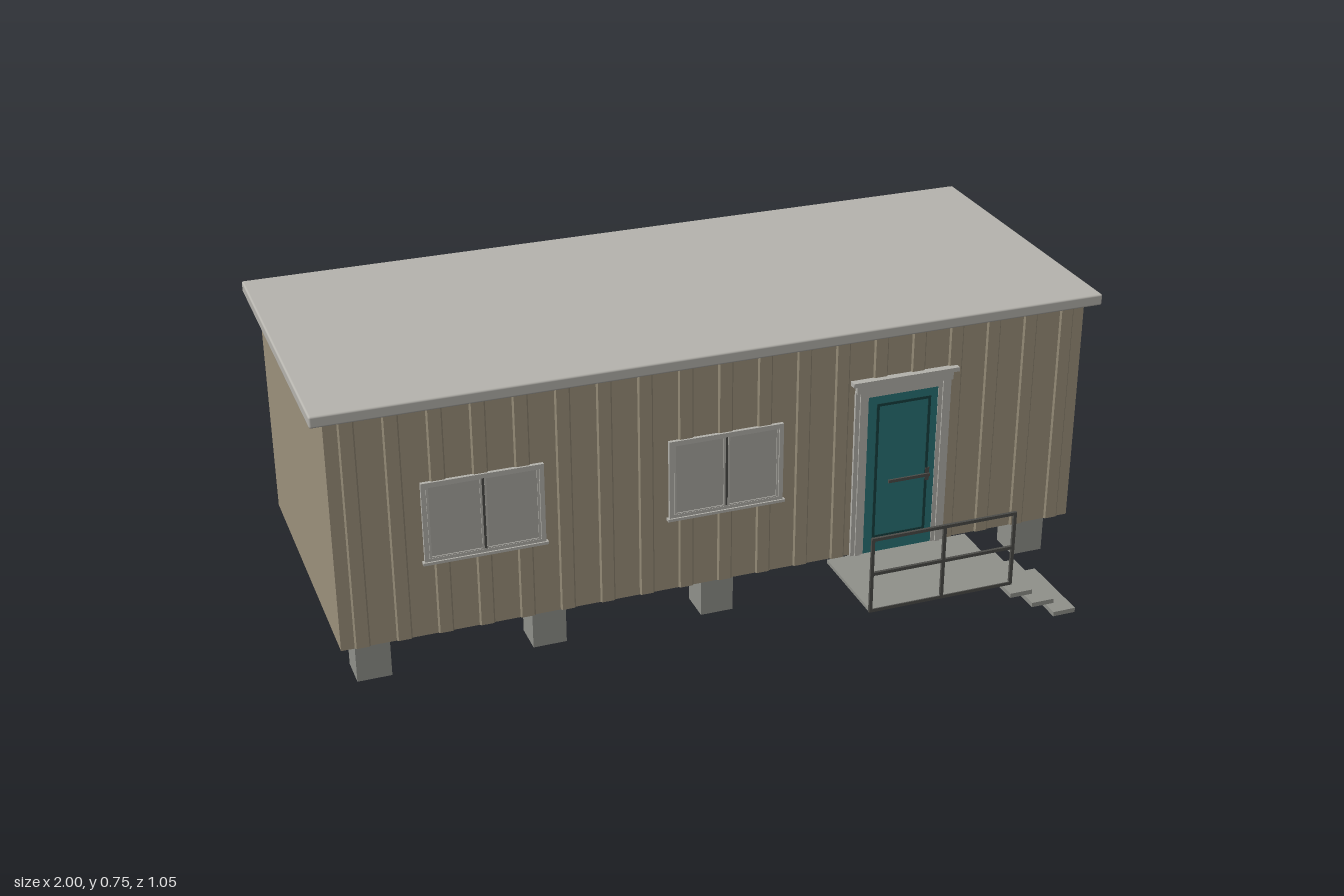
import * as THREE from 'three';
import { RoundedBoxGeometry } from 'three/addons/geometries/RoundedBoxGeometry.js';

const mat = (name, color) => Object.assign(new THREE.MeshStandardMaterial({ color }), { name });

export function createModel() {
  const wall = mat('tan cladding', 0x9c917c);
  const roofGrey = mat('roof grey', 0xb6b4ae);
  const concrete = mat('concrete grey', 0x90918b);
  const trim = mat('pale trim', 0xb4b2ac);
  const glass = mat('window pane', 0xaaa8a2);
  const teal = mat('teal door', 0x287476);
  const darkTeal = mat('dark teal moulding', 0x173f40);
  const iron = mat('dark iron', 0x4c4c48);
  const white = mat('unit white', 0xc0bfba);

  const model = new THREE.Group();
  model.name = 'portableCabin';
  const group = (name) => {
    const g = new THREE.Group();
    g.name = name;
    model.add(g);
    return g;
  };
  const add = (parent, name, geometry, material) => {
    const m = new THREE.Mesh(geometry, material);
    m.name = name;
    parent.add(m);
    return m;
  };
  // Box given by its minimum and maximum on each axis
  const box = (parent, name, material, x0, x1, y0, y1, z0, z1, radius = 0) => {
    const s = [x1 - x0, y1 - y0, z1 - z0];
    const g = radius ? new RoundedBoxGeometry(...s, 2, radius) : new THREE.BoxGeometry(...s);
    const m = add(parent, name, g, material);
    m.position.set((x0 + x1) / 2, (y0 + y1) / 2, (z0 + z1) / 2);
    return m;
  };
  // Rectangular border made of four bars
  const border = (parent, name, material, x0, x1, y0, y1, z0, z1, w) => {
    box(parent, name, material, x0, x0 + w, y0, y1, z0, z1);
    box(parent, name, material, x1 - w, x1, y0, y1, z0, z1);
    box(parent, name, material, x0 + w, x1 - w, y0, y0 + w, z0, z1);
    box(parent, name, material, x0 + w, x1 - w, y1 - w, y1, z0, z1);
  };

  // Body: floor plan with shallow ribs along the front, extruded upwards
  const X0 = -0.967, X1 = 0.926, ribs = 19, pitch = (X1 - X0) / ribs;
  const plan = new THREE.Shape();
  plan.moveTo(X0, 0.49);
  plan.lineTo(X1, 0.49);
  for (let i = ribs - 1; i >= 0; i--) {
    const x = X0 + i * pitch;
    [[0.98, -0.266], [0.7, -0.266], [0.66, -0.27], [0.36, -0.27], [0.32, -0.266]]
      .forEach(([t, z]) => plan.lineTo(x + t * pitch, z));
    if (i === 0) plan.lineTo(x, -0.266);
  }
  const body = new THREE.ExtrudeGeometry(plan, { depth: 0.592, bevelEnabled: false });
  body.rotateX(-Math.PI / 2);
  add(model, 'body', body, wall).position.y = 0.132;

  // Roof slab with eaves
  box(model, 'roof', roofGrey, -1, 0.957, 0.722, 0.751, -0.525, 0.295, 0.005);

  // Foundation blocks
  const blocks = group('foundationBlocks');
  for (let i = 0; i < 5; i++) {
    const x = -0.886 + i * 0.4315;
    for (const z of [0.184, -0.407]) {
      box(blocks, 'block', concrete, x - 0.042, x + 0.042, 0.015, 0.133, z - 0.042, z + 0.042);
    }
  }

  // Twin-pane windows
  for (const cx of [-0.614, -0.018]) {
    const w = group('window');
    border(w, 'frame', trim, cx - 0.145, cx + 0.145, 0.327, 0.533, 0.264, 0.275, 0.011);
    for (const s of [-1, 1]) {
      const a = cx + s * 0.068;
      box(w, 'pane', glass, a - 0.065, a + 0.065, 0.336, 0.525, 0.264, 0.2715);
      border(w, 'sash', trim, a - 0.065, a + 0.065, 0.336, 0.525, 0.264, 0.274, 0.005);
    }
    box(w, 'mullion', iron, cx - 0.003, cx + 0.003, 0.336, 0.525, 0.264, 0.2735);
    box(w, 'sill', trim, cx - 0.15, cx + 0.15, 0.323, 0.33, 0.264, 0.279);
  }

  // Door with moulded panel, casing and cornice
  const door = group('door');
  box(door, 'leaf', teal, 0.346, 0.534, 0.132, 0.563, 0.262, 0.272);
  border(door, 'panelMoulding', darkTeal, 0.37, 0.514, 0.172, 0.542, 0.27, 0.2745, 0.007);
  box(door, 'handlePlate', iron, 0.508, 0.519, 0.31, 0.345, 0.271, 0.275);
  box(door, 'handle', iron, 0.408, 0.52, 0.322, 0.33, 0.274, 0.279);
  for (const s of [-1, 1]) {
    const x = 0.44 + s * 0.11;
    box(door, 'casing', trim, x - 0.017, x + 0.017, 0.132, 0.582, 0.262, 0.274);
    box(door, 'casingRidge', trim, x - 0.006, x + 0.006, 0.132, 0.582, 0.27, 0.278);
  }
  box(door, 'headCasing', trim, 0.33, 0.55, 0.563, 0.582, 0.262, 0.274);
  box(door, 'frieze', trim, 0.314, 0.57, 0.578, 0.602, 0.262, 0.278);
  box(door, 'cornice', trim, 0.302, 0.582, 0.6, 0.611, 0.262, 0.285);

  // Landing and floating steps
  const porch = group('porch');
  box(porch, 'landing', concrete, 0.253, 0.632, 0.122, 0.131, 0.268, 0.52);
  for (let i = 0; i < 3; i++) {
    const x = 0.634 + i * 0.063, y = 0.081 - i * 0.0395;
    box(porch, 'step', concrete, x, x + 0.06, y, y + 0.012, 0.31, 0.518);
  }

  // Railing along the front of the landing
  const rail = group('railing');
  for (const x of [0.256, 0.443, 0.629]) {
    box(rail, 'post', iron, x - 0.004, x + 0.004, 0.122, 0.322, 0.515, 0.522);
  }
  for (const y of [0.126, 0.226, 0.319]) {
    box(rail, 'bar', iron, 0.253, 0.633, y - 0.004, y + 0.004, 0.515, 0.522);
  }

  // Air conditioner on the left end wall
  const ac = group('airConditioner');
  box(ac, 'casing', white, 0.934, 0.99, 0.39, 0.511, -0.12, 0.024, 0.005);
  box(ac, 'base', concrete, 0.934, 0.99, 0.384, 0.392, -0.119, 0.023);
  for (const z of [0.004, -0.101]) {
    box(ac, 'bracketArm', iron, 0.924, 1, 0.374, 0.384, z - 0.003, z + 0.003);
    box(ac, 'bracketUpright', iron, 0.924, 0.93, 0.374, 0.43, z - 0.003, z + 0.003);
  }
  const pipe = new THREE.CurvePath();
  const points = [[0.94, 0.432, -0.11], [0.94, 0.432, -0.144], [0.94, 0.638, -0.144]]
    .map((p) => new THREE.Vector3(...p));
  pipe.add(new THREE.LineCurve3(points[0], points[1]));
  pipe.add(new THREE.LineCurve3(points[1], points[2]));
  for (const c of pipe.curves) add(ac, 'pipe', new THREE.TubeGeometry(c, 1, 0.004, 8), concrete);
  add(ac, 'pipeElbow', new THREE.SphereGeometry(0.0045, 8, 6), concrete).position.copy(points[1]);
  add(ac, 'pipeCap', new THREE.SphereGeometry(0.004, 8, 6), concrete).position.copy(points[2]);
  box(ac, 'pipeClip', concrete, 0.924, 0.94, 0.628, 0.634, -0.147, -0.141);

  return model;
}
